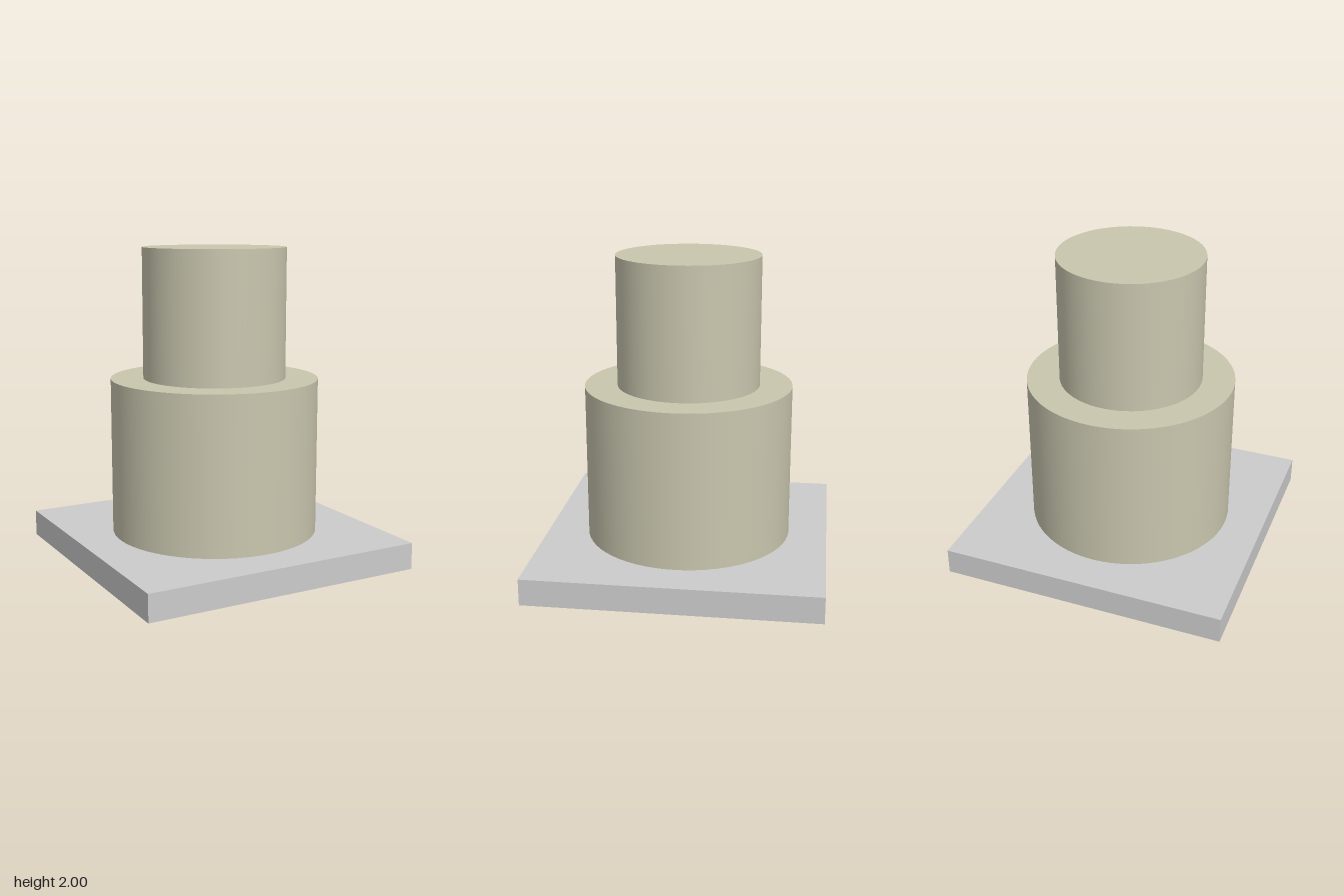
import * as THREE from 'three';

export function createModel() {
  const model = new THREE.Group();
  const grey = new THREE.MeshStandardMaterial({ color: 0xcccccc });
  const cream = new THREE.MeshStandardMaterial({ color: 0xc9c6ae });

  const add = (name, geometry, material, x, y, z) => {
    const mesh = new THREE.Mesh(geometry, material);
    mesh.name = name;
    mesh.position.set(x, y, z);
    model.add(mesh);
    return mesh;
  };

  // Square board under the cake
  const boardTop = 0.17;
  add('cakeBoard', new THREE.BoxGeometry(1.83, boardTop, 1.83), grey, 0, boardTop / 2, 0);

  // Stacked round tiers
  const tiers = [
    { name: 'lowerTier', radius: 0.665, bottom: boardTop, top: 1.17 },
    { name: 'upperTier', radius: 0.457, bottom: 1.17, top: 2 },
  ];
  for (const { name, radius, bottom, top } of tiers) {
    const geometry = new THREE.CylinderGeometry(radius, radius, top - bottom, 64);
    add(name, geometry, cream, 0, (bottom + top) / 2, 0);
  }

  // Blank label lying on the front corner of the board
  const labelMaterial = new THREE.MeshStandardMaterial({ color: 0xcccccc, side: THREE.DoubleSide });
  const label = add('label', new THREE.PlaneGeometry(0.435, 0.22), labelMaterial, -0.59, boardTop + 0.002, 0.69);
  label.rotation.x = -Math.PI / 2;

  return model;
}
